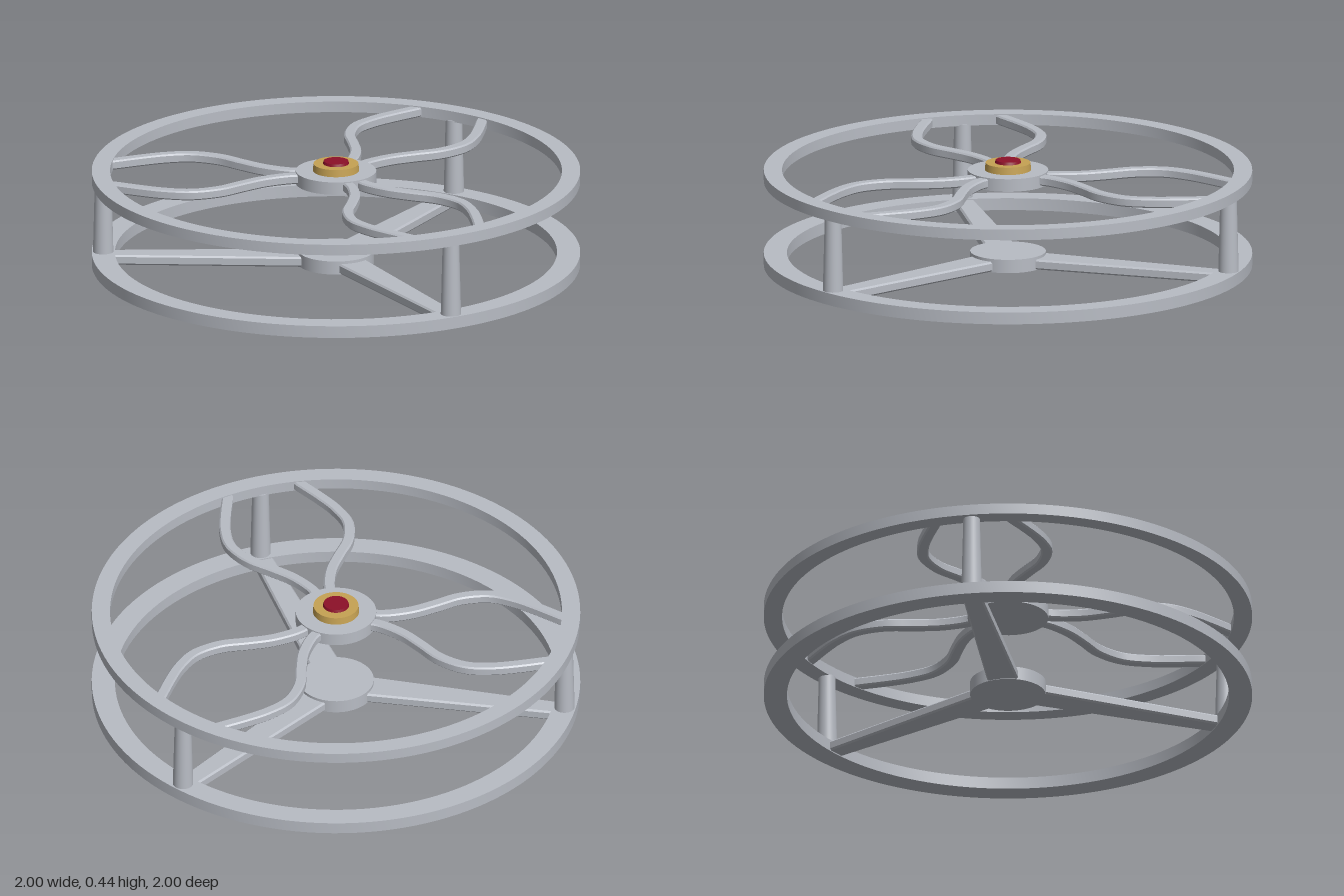
import * as THREE from 'three';
import { toCreasedNormals } from 'three/addons/utils/BufferGeometryUtils.js';

const metal = new THREE.MeshStandardMaterial({ name: 'silver metal', color: 0xb8bcc4 });
const gold = new THREE.MeshStandardMaterial({ name: 'gold', color: 0xc6a253 });
const red = new THREE.MeshStandardMaterial({ name: 'dark red', color: 0x8c1028 });

function add(parent, name, geometry, material) {
  const mesh = new THREE.Mesh(geometry, material);
  mesh.name = name;
  parent.add(mesh);
  return mesh;
}

// Flat ring with a rectangular section
function ringGeometry(inner, outer, y0, y1) {
  const profile = [[inner, y0], [outer, y0], [outer, y1], [inner, y1], [inner, y0]]
    .map(([r, y]) => new THREE.Vector2(r, y));
  return toCreasedNormals(new THREE.LatheGeometry(profile, 128), 0.6);
}

// Upright disc between two heights
function discGeometry(rTop, rBottom, y0, y1) {
  return new THREE.CylinderGeometry(rTop, rBottom, y1 - y0, 64).translate(0, (y0 + y1) / 2, 0);
}

// Outline in x and z, given height and chamfered edges
function slabGeometry(outline, y0, y1, bevel) {
  const geometry = new THREE.ExtrudeGeometry(new THREE.Shape(outline), {
    depth: y1 - y0 - 2 * bevel,
    bevelEnabled: true,
    bevelThickness: bevel,
    bevelSize: bevel,
    bevelOffset: -bevel,
    bevelSegments: 1,
  });
  geometry.rotateX(Math.PI / 2).translate(0, y1 - bevel, 0);
  return toCreasedNormals(geometry, 0.5);
}

// Constant-width band along a smooth curve; side mirrors it in x
function armOutline(side, halfWidth) {
  const curve = new THREE.SplineCurve([
    [0.032, 0.11], [0.036, 0.19], [0.08, 0.295], [0.145, 0.385], [0.215, 0.475],
    [0.254, 0.59], [0.24, 0.7], [0.205, 0.8], [0.16, 0.905], [0.15, 0.935],
  ].map(([x, z]) => new THREE.Vector2(x, z)));
  const outer = [], inner = [];
  const steps = 40;
  for (let i = 0; i <= steps; i++) {
    const p = curve.getPoint(i / steps), t = curve.getTangent(i / steps);
    outer.push(new THREE.Vector2(side * (p.x + t.y * halfWidth), p.y - t.x * halfWidth));
    inner.push(new THREE.Vector2(side * (p.x - t.y * halfWidth), p.y + t.x * halfWidth));
  }
  return outer.concat(inner.reverse());
}

export function createModel() {
  const model = new THREE.Group();
  model.name = 'doubleWheel';

  // Rims and hubs
  add(model, 'lowerRim', ringGeometry(0.905, 1, 0, 0.05), metal);
  add(model, 'upperRim', ringGeometry(0.925, 1, 0.355, 0.4), metal);
  add(model, 'lowerHub', discGeometry(0.155, 0.155, 0.002, 0.058), metal);
  add(model, 'upperHub', discGeometry(0.165, 0.165, 0.348, 0.401), metal);

  // Centre cap
  add(model, 'goldCap', discGeometry(0.092, 0.095, 0.4, 0.431), gold);
  add(model, 'redButton', discGeometry(0.05, 0.054, 0.43, 0.442), red);

  // Three sectors: straight lower spoke, post, pair of curved upper arms
  const spokeOutline = [[-0.066, 0.08], [0.066, 0.08], [0.04, 0.93], [-0.04, 0.93]]
    .map(([x, z]) => new THREE.Vector2(x, z));
  const spoke = slabGeometry(spokeOutline, 0.004, 0.046, 0.007);
  const post = new THREE.CylinderGeometry(0.034, 0.042, 0.315, 32).translate(0, 0.2025, 0.953);
  const arms = [1, -1].map((side) => slabGeometry(armOutline(side, 0.023), 0.357, 0.396, 0.006));
  for (let i = 0; i < 3; i++) {
    const sector = new THREE.Group();
    sector.name = 'sector' + (i + 1);
    sector.rotation.y = (i * Math.PI * 2) / 3;
    add(sector, 'lowerSpoke', spoke, metal);
    add(sector, 'post', post, metal);
    add(sector, 'leftCurvedArm', arms[0], metal);
    add(sector, 'rightCurvedArm', arms[1], metal);
    model.add(sector);
  }
  return model;
}
